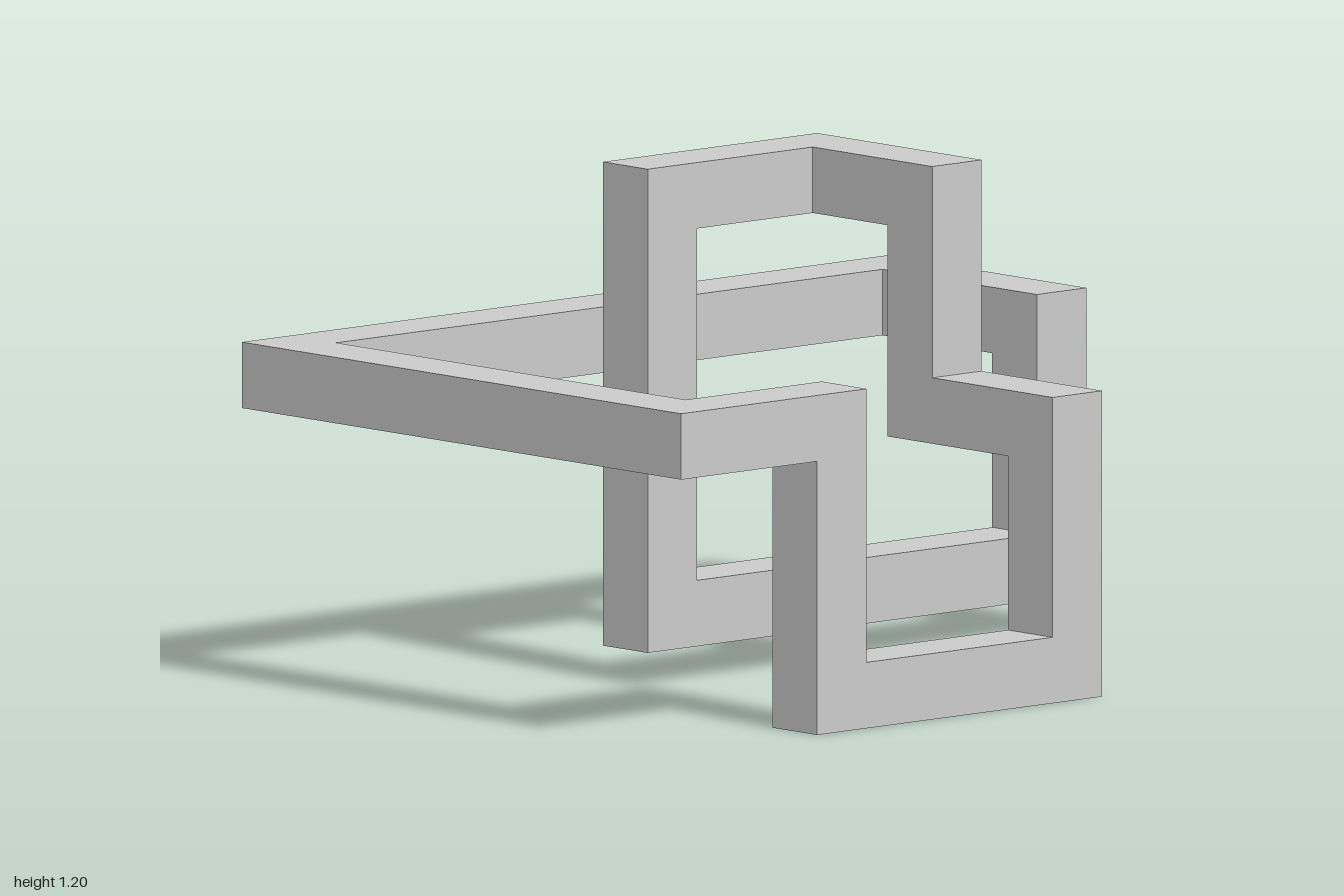
import * as THREE from 'three';

const HALF = 0.0765; // half the thickness of the square bar

// Centre line of the closed frame, corner by corner
const CORNERS = [
  [-0.923, 0.711, 0.673], [-0.502, 0.711, 0.673], // front arm
  [-0.502, 0.0765, 0.673], [0.228, 0.0765, 0.673], // front foot
  [0.228, 0.633, 0.673], [0.228, 0.633, 0.262], // step
  [0.228, 1.123, 0.262], [0.228, 1.123, -0.146], // arch
  [-0.283, 1.123, -0.146], [-0.283, 0.154, -0.146], // middle post
  [0.923, 0.154, -0.146], [0.923, 0.711, -0.146], // lower rail
  [0.923, 0.711, -0.673], [-0.923, 0.711, -0.673], // back rail
].map((p) => new THREE.Vector3(...p));

const NAMES = ['frontArm', 'frontLeftDrop', 'frontFoot', 'frontRiser', 'stepBar', 'archPost', 'archTop',
  'crossTop', 'middlePost', 'lowerRail', 'sideRiser', 'sideReturn', 'backRail', 'longSideRail'];

const corner = (i) => CORNERS[(i + CORNERS.length) % CORNERS.length];
const direction = (i) => corner(i + 1).clone().sub(corner(i)).normalize();

// Square bar from corner i to the next, with both ends cut as mitres
function barGeometry(i) {
  const dir = direction(i);
  const u = Math.abs(dir.y) > 0.5 ? new THREE.Vector3(1, 0, 0) : new THREE.Vector3(0, 1, 0);
  const v = dir.clone().cross(u);
  const ring = (point, neighbour) => [[1, 1], [-1, 1], [-1, -1], [1, -1]].map(([a, b]) => {
    const offset = u.clone().multiplyScalar(a * HALF).addScaledVector(v, b * HALF);
    const slide = -offset.dot(neighbour);
    return offset.addScaledVector(dir, slide).add(point);
  });
  const start = ring(corner(i), direction(i - 1));
  const end = ring(corner(i + 1), direction(i + 1));
  const points = [];
  for (let k = 0; k < 4; k++) {
    const n = (k + 1) % 4;
    points.push(start[k], start[n], end[n], start[k], end[n], end[k]);
  }
  const geometry = new THREE.BufferGeometry().setFromPoints(points);
  geometry.computeVertexNormals();
  return geometry;
}

export function createModel() {
  const group = new THREE.Group();
  group.name = 'loopFrame';
  const material = new THREE.MeshStandardMaterial({ color: 0xcccccc, flatShading: true });
  NAMES.forEach((name, i) => {
    const bar = new THREE.Mesh(barGeometry(i), material);
    bar.name = name;
    group.add(bar);
  });
  return group;
}
